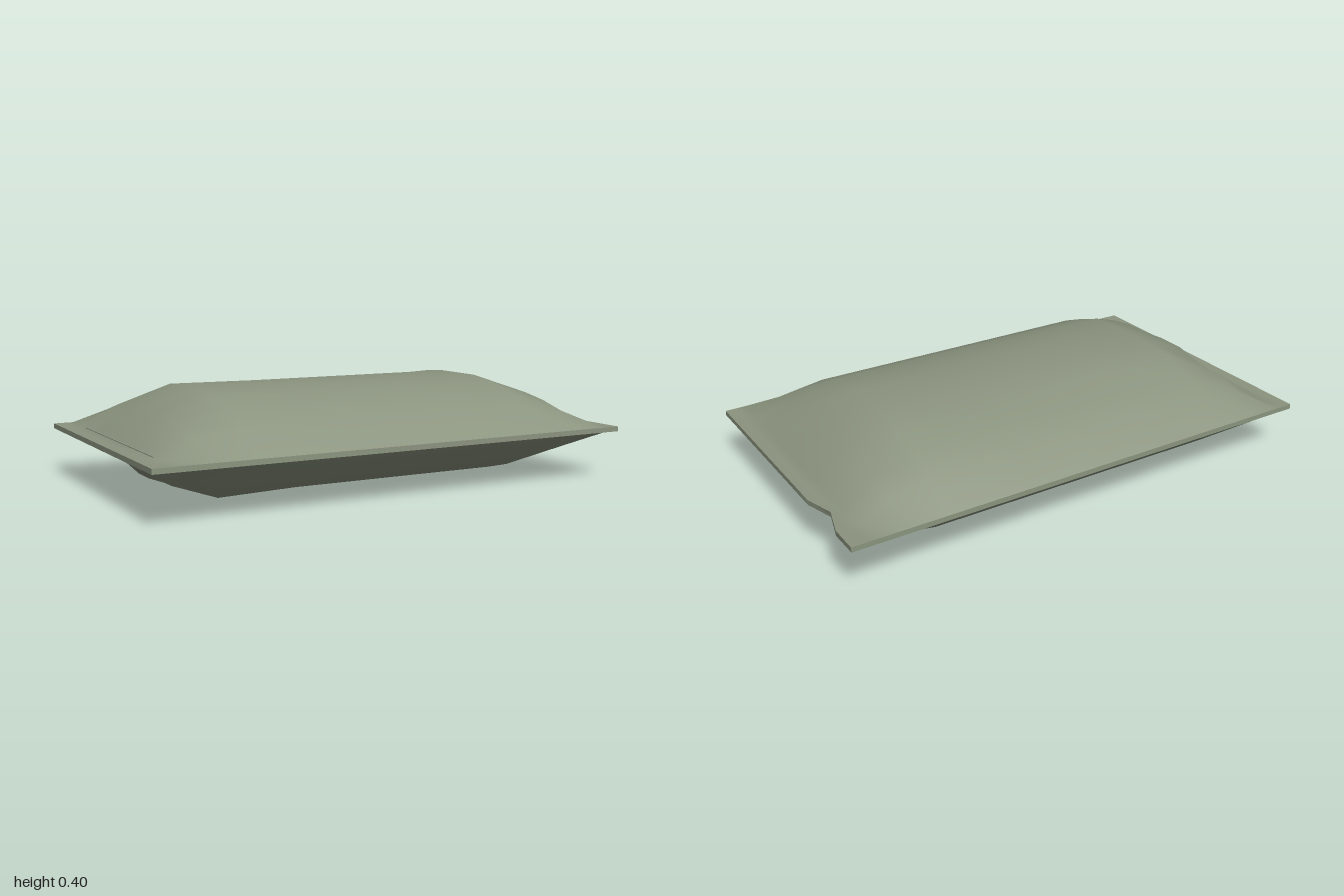
import * as THREE from 'three';

// stations along the length, with how full the pouch is at each
const XS = [-1, -0.96, -0.92, -0.8, -0.62, -0.3, 0, 0.3, 0.62, 0.8, 0.92, 0.96, 1];
const FULL_X = [0, -0.015, 0, 0.69, 1, 1, 1, 1, 1, 0.69, 0, -0.015, 0];
// stations across the width, every 0.12
const FULL_Z = [0, 0.49, 0.72, 0.88, 1, 1, 1, 0.9, 0.74, 0.49, 0];
const NX = XS.length, NZ = FULL_Z.length;
const MID = 0.2, EDGE = 0.01, BULGE = 0.19;

const zAt = j => -0.6 + 0.12 * j;

// tear notch in the left end seal
function xAt(i, j) {
  if (j === 2 && i === NX - 1) return 0.965;
  if (j === 2 && i === NX - 2) return 0.945;
  return XS[i];
}

// half thickness, with soft wrinkles near the ends
function half(i, j) {
  let f = FULL_X[i] * FULL_Z[j];
  if (FULL_X[i] < 0) f = j > 0 && j < NZ - 1 ? FULL_X[i] : 0;
  if ((i === 8 && j === 3) || (i === 4 && (j === 7 || j === 3))) f = 0.95;
  if (i === 9 && (j === 4 || j === 6)) f -= 0.05;
  if (i === 3 && (j === 3 || j === 6)) f -= 0.06;
  return EDGE + BULGE * f;
}

function build(pos, idx) {
  const g = new THREE.BufferGeometry();
  g.setAttribute('position', new THREE.Float32BufferAttribute(pos, 3));
  g.setIndex(idx);
  g.computeVertexNormals();
  return g;
}

// one bulging sheet; side is 1 for the top, -1 for the bottom
function sheet(side) {
  const pos = [], idx = [];
  for (let i = 0; i < NX; i++)
    for (let j = 0; j < NZ; j++) pos.push(xAt(i, j), MID + side * half(i, j), zAt(j));
  for (let i = 0; i < NX - 1; i++)
    for (let j = 0; j < NZ - 1; j++) {
      const a = i * NZ + j, b = a + 1, c = a + NZ, d = c + 1;
      if (side > 0) idx.push(a, b, d, a, d, c);
      else idx.push(a, d, b, a, c, d);
    }
  return build(pos, idx);
}

// thin wall joining the two sheets along a list of grid points
function wall(points) {
  const pos = [], idx = [];
  points.forEach(([i, j], k) => {
    const h = half(i, j);
    pos.push(xAt(i, j), MID + h, zAt(j), xAt(i, j), MID - h, zAt(j));
    if (k) {
      const a = 2 * k - 2;
      idx.push(a, a + 1, a + 3, a, a + 3, a + 2);
    }
  });
  return build(pos, idx);
}

export function createModel() {
  const group = new THREE.Group();
  group.name = 'pouch';
  const foil = new THREE.MeshStandardMaterial({ color: 0x8b947f });
  foil.name = 'sage green foil';
  const add = (name, geometry) => {
    const mesh = new THREE.Mesh(geometry, foil);
    mesh.name = name;
    group.add(mesh);
    return mesh;
  };

  add('topSheet', sheet(1));
  add('bottomSheet', sheet(-1));

  // edge walls, running anticlockwise seen from above
  const alongX = [...Array(NX).keys()], alongZ = [...Array(NZ).keys()];
  add('frontEdge', wall(alongX.map(i => [i, NZ - 1])));
  add('leftEdge', wall(alongZ.map(j => [NX - 1, NZ - 1 - j])));
  add('backEdge', wall(alongX.map(i => [NX - 1 - i, 0])));
  add('rightEdge', wall(alongZ.map(j => [0, j])));

  // pressed seal lines at the right end
  for (const side of [1, -1]) {
    const seam = add('sealLine', new THREE.BoxGeometry(0.006, 0.004, 0.8));
    seam.position.set(-0.92, MID + side * 0.0105, 0);
  }
  return group;
}
